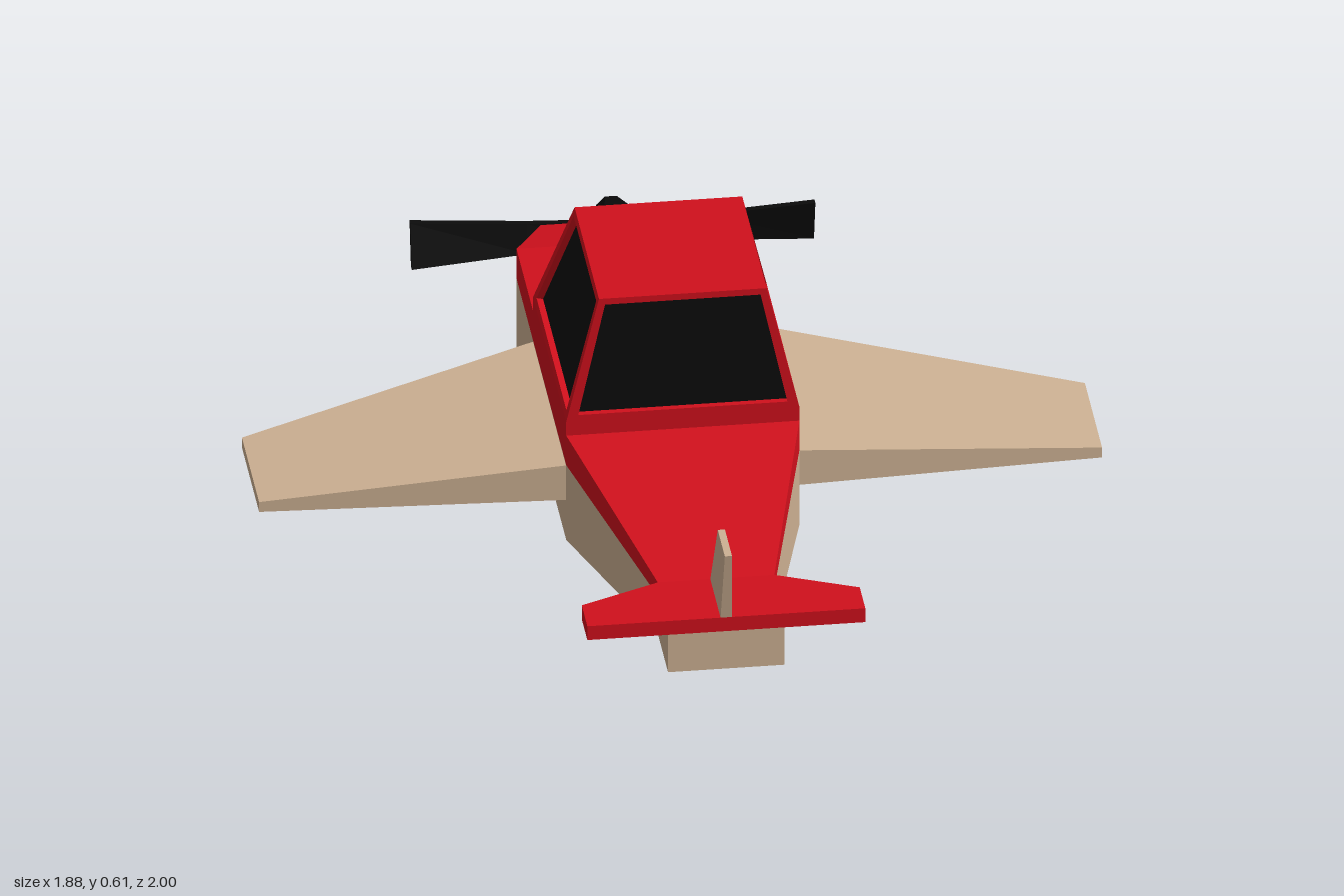
import * as THREE from 'three';

const paint = (color) => new THREE.MeshStandardMaterial({ color, flatShading: true });
const V = (x, y, z) => new THREE.Vector3(x, y, z);

// Flat-shaded mesh from a list of four-cornered faces (counter-clockwise from outside)
function quadMesh(name, quads, material) {
  const points = quads.flatMap(([a, b, c, d]) => [a, b, c, a, c, d]);
  const geometry = new THREE.BufferGeometry().setFromPoints(points);
  geometry.computeVertexNormals();
  const mesh = new THREE.Mesh(geometry, material);
  mesh.name = name;
  return mesh;
}

// Solid through a row of four-cornered sections, turned outward by the sign of its volume
function loft(name, sections, material) {
  const quads = [[...sections[0]].reverse(), sections[sections.length - 1]];
  for (let s = 0; s < sections.length - 1; s++) {
    for (let i = 0; i < 4; i++) {
      const j = (i + 1) % 4;
      quads.push([sections[s][i], sections[s][j], sections[s + 1][j], sections[s + 1][i]]);
    }
  }
  let volume = 0;
  for (const [a, b, c, d] of quads) {
    volume += a.dot(b.clone().cross(c)) + a.dot(c.clone().cross(d));
  }
  return quadMesh(name, volume < 0 ? quads.map((q) => [...q].reverse()) : quads, material);
}

// Rectangles facing along x, y or z
const rectX = (x, y0, y1, z0, z1) => [V(x, y0, z0), V(x, y1, z0), V(x, y1, z1), V(x, y0, z1)];
const rectY = (y, w, z0, z1) => [V(-w, y, z1), V(w, y, z1), V(w, y, z0), V(-w, y, z0)];
const rectZ = (z, w, y0, y1) => [V(-w, y0, z), V(w, y0, z), V(w, y1, z), V(-w, y1, z)];

// Window frame with a reveal and a recessed pane
function cabinWindow(name, outer, frameMaterial, glassMaterial) {
  const group = new THREE.Group();
  group.name = name;
  const [a, b, c, d] = outer;
  const at = (u, v) => a.clone().lerp(b, u).lerp(d.clone().lerp(c, u), v);
  const inner = [at(0.045, 0.05), at(0.955, 0.05), at(0.955, 0.95), at(0.045, 0.95)];
  const normal = b.clone().sub(a).cross(d.clone().sub(a)).normalize();
  const pane = inner.map((p) => p.clone().addScaledVector(normal, -0.015));
  const quads = [];
  for (let i = 0; i < 4; i++) {
    const j = (i + 1) % 4;
    quads.push([outer[i], outer[j], inner[j], inner[i]], [inner[i], inner[j], pane[j], pane[i]]);
  }
  group.add(quadMesh('windowFrame', quads, frameMaterial), quadMesh('windowPane', [pane], glassMaterial));
  return group;
}

export function createModel() {
  const plane = new THREE.Group();
  plane.name = 'airplane';
  const red = paint(0xd0101c);
  const tan = paint(0xcdb193);
  const black = paint(0x0b0b0b);

  // Fuselage stations: z, half width, bottom, colour split, top
  const stations = [
    [-0.78, 0.185, 0.04, 0.175, 0.23],
    [-0.62, 0.26, 0, 0.19, 0.265],
    [0.225, 0.26, 0, 0.19, 0.265],
    [0.79, 0.13, 0.07, 0.165, 0.2],
    [0.965, 0.13, 0.07, 0.165, 0.2],
  ];
  plane.add(loft('lowerFuselage', stations.map(([z, w, y0, y1]) => rectZ(z, w, y0, y1)), tan));
  plane.add(loft('upperFuselage', stations.map(([z, w, , y0, y1]) => rectZ(z, w, y0, y1)), red));

  // Cabin: sill, four framed windows and roof
  const cabin = new THREE.Group();
  cabin.name = 'cabin';
  const base = rectY(0.3, 0.26, -0.34, 0.225);
  const roof = rectY(0.607, 0.187, -0.19, 0.225);
  cabin.add(loft('cabinSill', [rectY(0.26, 0.26, -0.34, 0.225), base], red));
  ['rearWindow', 'leftWindow', 'windshield', 'rightWindow'].forEach((name, i) => {
    const j = (i + 1) % 4;
    cabin.add(cabinWindow(name, [base[i], base[j], roof[j], roof[i]], red, black));
  });
  cabin.add(quadMesh('roof', [roof], red));
  plane.add(cabin);

  // Wings and tailplane halves
  for (const [side, s] of [['left', 1], ['right', -1]]) {
    plane.add(loft(side + 'Wing', [
      rectX(s * 0.255, 0.1, 0.188, -0.34, 0.222),
      rectX(s * 0.94, 0.1, 0.125, -0.105, 0.187),
    ], tan));
    plane.add(loft(side + 'Tailplane', [
      rectX(s * 0.13, 0.165, 0.2, 0.79, 0.965),
      rectX(s * 0.31, 0.165, 0.2, 0.87, 0.965),
    ], red));
  }

  // Tail fin
  plane.add(loft('tailFin', [rectY(0.195, 0.013, 0.788, 0.964), rectY(0.375, 0.008, 0.88, 1)], tan));

  // Propeller: faceted hub, tapered nose and two pitched blades
  const propeller = new THREE.Group();
  propeller.name = 'propeller';
  propeller.position.set(0, 0.135, -0.895);
  const addHub = (name, rFront, rBack, length, z) => {
    const geometry = new THREE.CylinderGeometry(rFront, rBack, length, 8);
    geometry.rotateY(Math.PI / 8).rotateX(-Math.PI / 2).translate(0, 0, z);
    const mesh = new THREE.Mesh(geometry, black);
    mesh.name = name;
    propeller.add(mesh);
  };
  addHub('hub', 0.07, 0.07, 0.1, 0.045);
  addHub('spinner', 0.034, 0.07, 0.1, -0.055);
  const bladeSection = (x, h, skew, t) => [
    V(x, -h, -skew - t), V(x, h, skew - t), V(x, h, skew + t), V(x, -h, -skew + t),
  ];
  for (const [name, length, turn] of [['leftBlade', 0.44, 0], ['rightBlade', 0.46, Math.PI]]) {
    const blade = loft(name, [
      bladeSection(0.03, 0.028, 0.004, 0.006),
      bladeSection(0.2, 0.035, 0.006, 0.007),
      bladeSection(length, 0.052, 0.012, 0.008),
    ], black);
    blade.rotation.z = turn;
    propeller.add(blade);
  }
  plane.add(propeller);

  return plane;
}
